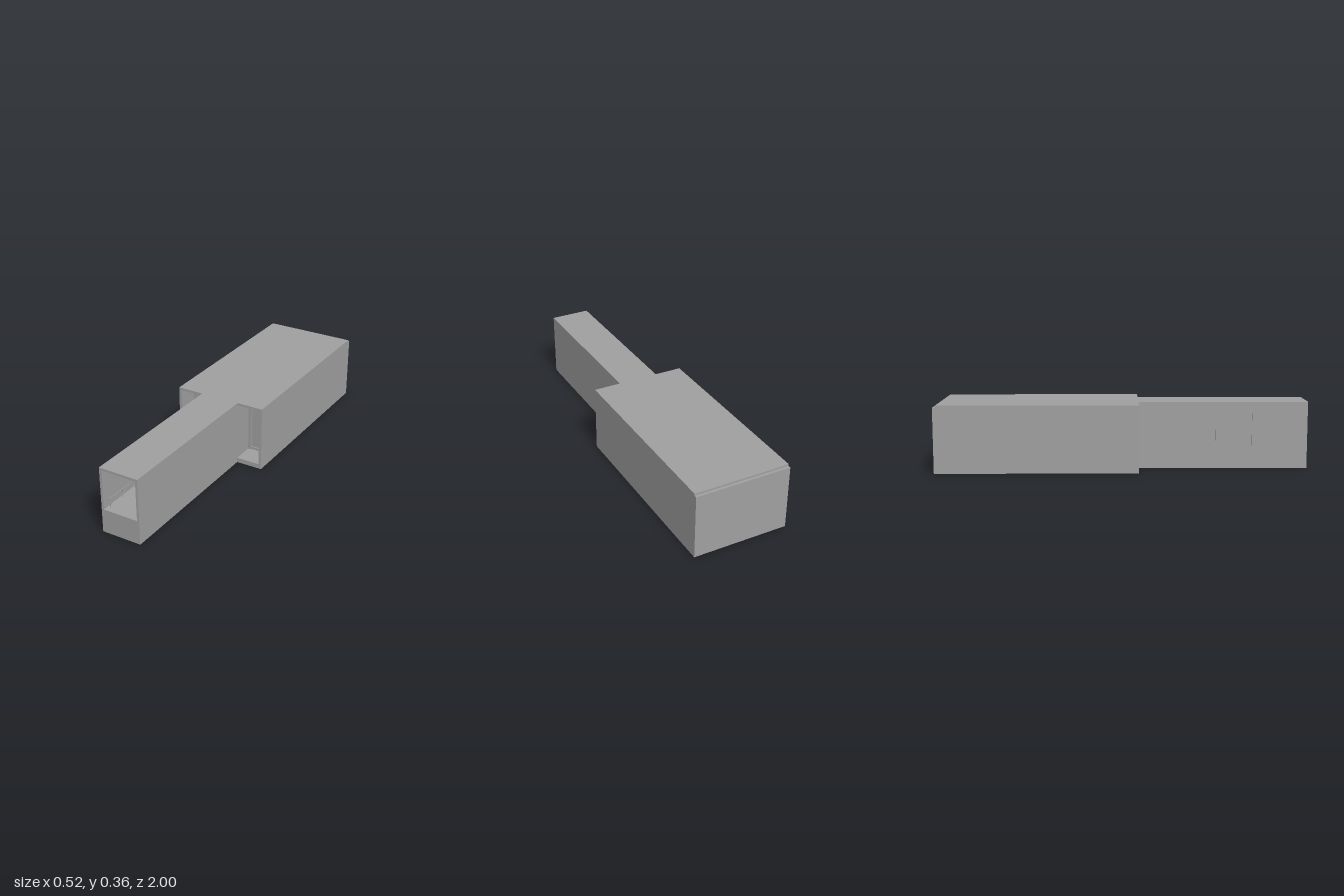
import * as THREE from 'three';

const grey = new THREE.MeshStandardMaterial({ color: 0xa0a0a0 });
grey.name = 'plain grey';

// Box given by its minimum and maximum on each axis
function box(name, x0, x1, y0, y1, z0, z1) {
  const m = new THREE.Mesh(new THREE.BoxGeometry(x1 - x0, y1 - y0, z1 - z0), grey);
  m.position.set((x0 + x1) / 2, (y0 + y1) / 2, (z0 + z1) / 2);
  m.name = name;
  return m;
}

function rect(Type, x0, x1, y0, y1) {
  const r = new Type();
  r.moveTo(x0, y0);
  r.lineTo(x1, y0);
  r.lineTo(x1, y1);
  r.lineTo(x0, y1);
  r.closePath();
  return r;
}

// Rectangular slab with rectangular holes, extruded along z from zero
function slab(name, outline, holes, depth) {
  const shape = rect(THREE.Shape, ...outline);
  holes.forEach(h => shape.holes.push(rect(THREE.Path, ...h)));
  const m = new THREE.Mesh(
    new THREE.ExtrudeGeometry(shape, { depth, bevelEnabled: false }), grey);
  m.name = name;
  return m;
}

function rod(name, r, a, b) {
  const m = new THREE.Mesh(
    new THREE.TubeGeometry(new THREE.LineCurve3(a, b), 1, r, 8), grey);
  m.name = name;
  return m;
}

export function createModel() {
  const model = new THREE.Group();
  model.name = 'hallBuilding';
  const H = 0.363, join = 0.085, back = -0.985, screenZ = -0.04;

  // Wide hall: open-ended shell closed by a slightly lower back wall
  const shell = slab('hallShell', [-0.26, 0.26, 0, H], [[-0.245, 0.245, 0.027, 0.35]], join - back);
  shell.position.z = back;
  model.add(shell, box('backWall', -0.26, 0.26, 0, 0.352, -1, back));

  // Screen wall set back inside the hall, with a sunk panel in each wing
  const screen = slab('screenWall', [-0.245, 0.245, 0.027, 0.35], [
    [-0.098, 0.098, 0.131, 0.333],
    [-0.222, -0.128, 0.042, 0.333],
    [0.128, 0.222, 0.042, 0.333],
  ], 0.012);
  screen.position.z = screenZ - 0.012;
  model.add(screen);

  // Narrow corridor: floor block, roof and plain wall
  model.add(
    box('corridorFloor', -0.098, 0.098, 0, 0.131, join, 1),
    box('corridorRoof', -0.098, 0.098, 0.35, H, join, 1),
    box('corridorWall', 0.098, 0.111, 0, H, join, 1),
    box('innerFloor', -0.098, 0.098, 0.027, 0.131, back, join));

  // Corridor wall with two doorways
  const doors = [[0.387, 0.504], [0.583, 0.70]];
  const doorWall = slab('doorwayWall', [join, 1, 0, H],
    doors.map(([a, b]) => [a, b, 0.107, 0.3]), 0.013);
  doorWall.rotation.y = -Math.PI / 2;
  doorWall.position.x = -0.098;
  model.add(doorWall);
  doors.forEach(([a, b]) => model.add(box('door', -0.103, -0.095, 0.107, 0.3, a, b)));

  for (const s of [-1, 1]) {
    // Corridor wall continued to the screen, and the sunk wing panel
    const mid = s * 0.1045, panel = s * 0.175;
    model.add(
      box('innerWall', mid - 0.0065, mid + 0.0065, 0.027, 0.35, screenZ, join),
      box('wingPost', s * 0.1195 - 0.0085, s * 0.1195 + 0.0085, 0.027, 0.35, screenZ, screenZ + 0.005),
      box('wingPanel', panel - 0.05, panel + 0.05, 0.035, 0.34, screenZ - 0.02, screenZ - 0.006));

    // Low handrails on posts along both corridor walls
    for (const [z0, z1] of [[0.74, 0.97], [0.13, 0.35]]) {
      const x = s * 0.088;
      model.add(rod('handrail', 0.002, new THREE.Vector3(x, 0.176, z0), new THREE.Vector3(x, 0.176, z1)));
      for (const z of [z0 + 0.01, (z0 + z1) / 2, z1 - 0.01]) {
        model.add(rod('railPost', 0.0018, new THREE.Vector3(x, 0.131, z), new THREE.Vector3(x, 0.176, z)));
      }
    }
  }

  // Ceiling lamps
  for (const z of [0.3, 0.55, 0.8]) {
    const bulb = new THREE.Mesh(new THREE.SphereGeometry(0.013, 16, 10), grey);
    bulb.scale.y = 0.62;
    bulb.position.set(0, 0.336, z);
    bulb.name = 'lampGlobe';
    const cap = new THREE.Mesh(new THREE.CylinderGeometry(0.013, 0.013, 0.003, 16), grey);
    cap.position.set(0, 0.3485, z);
    cap.name = 'lampCap';
    model.add(bulb, cap, rod('lampStem', 0.002,
      new THREE.Vector3(0, 0.34, z), new THREE.Vector3(0, 0.349, z)));
  }
  return model;
}
